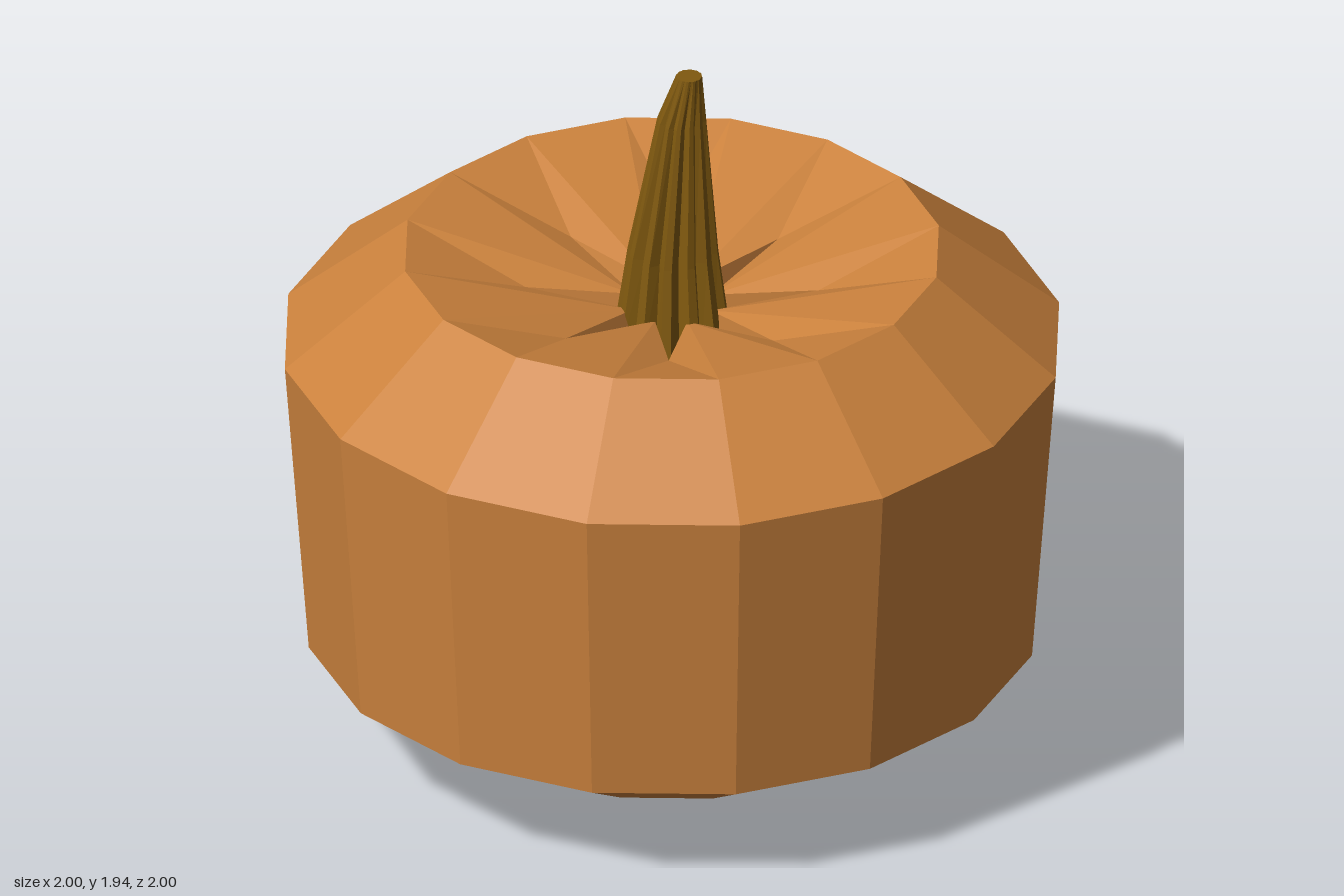
import * as THREE from 'three';

// Skins a stack of equal-length rings of points with triangles, outward when rings rise.
function loft(rings, { loop = false, capTop = false, capBottom = false } = {}) {
  const pos = [];
  const n = rings[0].length;
  const tri = (...pts) => pts.forEach((p) => pos.push(p.x, p.y, p.z));
  const last = loop ? rings.length : rings.length - 1;
  for (let k = 0; k < last; k++) {
    const a = rings[k], b = rings[(k + 1) % rings.length];
    for (let i = 0; i < n; i++) {
      const j = (i + 1) % n;
      tri(a[i], a[j], b[j]);
      tri(a[i], b[j], b[i]);
    }
  }
  const cap = (ring, up) => {
    const c = ring.reduce((s, p) => s.add(p), new THREE.Vector3()).divideScalar(n);
    ring.forEach((p, i) => {
      const q = ring[(i + 1) % n];
      if (up) tri(c, p, q); else tri(c, q, p);
    });
  };
  if (capTop) cap(rings[rings.length - 1], true);
  if (capBottom) cap(rings[0], false);
  const geo = new THREE.BufferGeometry();
  geo.setAttribute('position', new THREE.Float32BufferAttribute(pos, 3));
  geo.computeVertexNormals();
  return geo;
}

// One horizontal ring; radius is a function of the point index.
function ring(count, y, radius, phase = 0, cx = 0) {
  return Array.from({ length: count }, (_, i) => {
    const a = ((i + phase) / count) * Math.PI * 2;
    const r = radius(i);
    return new THREE.Vector3(cx + r * Math.sin(a), y, r * Math.cos(a));
  });
}

function part(name, geometry, color) {
  const mesh = new THREE.Mesh(geometry, new THREE.MeshStandardMaterial({ color, flatShading: true }));
  mesh.name = name;
  return mesh;
}

export function createModel() {
  const group = new THREE.Group();
  group.name = 'pumpkin';

  // Body: 16-sided shell from the underside hole out and up to the rim
  const SIDES = 16;
  const profile = [[0.15, 0], [0.61, 0.1], [0.957, 0.305], [1.02, 1.14], [0.703, 1.4]];
  const rings = profile.map(([r, y]) => ring(SIDES, y, () => r, 0.5));

  // Sunken top: eight pointed grooves, then a narrow core back to the underside
  const star = ring(SIDES, 0, (i) => (i % 2 ? 0.11 : 0.38));
  star.forEach((p, i) => { p.y = i % 2 ? 1.24 : 1.28; });
  rings.push(star, ring(SIDES, 1.1, () => 0.1));
  group.add(part('body', loft(rings, { loop: true }), 0xcb823d));

  // Stem: ribbed, tapering, bent toward +x near its tip
  const RIBS = 12;
  const stemLevels = [[1.13, 0.155, 0, 0.78], [1.4, 0.118, 0.003, 0.8], [1.8, 0.064, 0.036, 0.85], [1.94, 0.034, 0.064, 0.95]];
  const stemRings = stemLevels.map(([y, r, cx, groove]) =>
    ring(RIBS * 3, y, (i) => (i % 3 === 2 ? r * groove : r), 0.5, cx));
  group.add(part('stem', loft(stemRings, { capTop: true, capBottom: true }), 0x80590f));

  return group;
}
